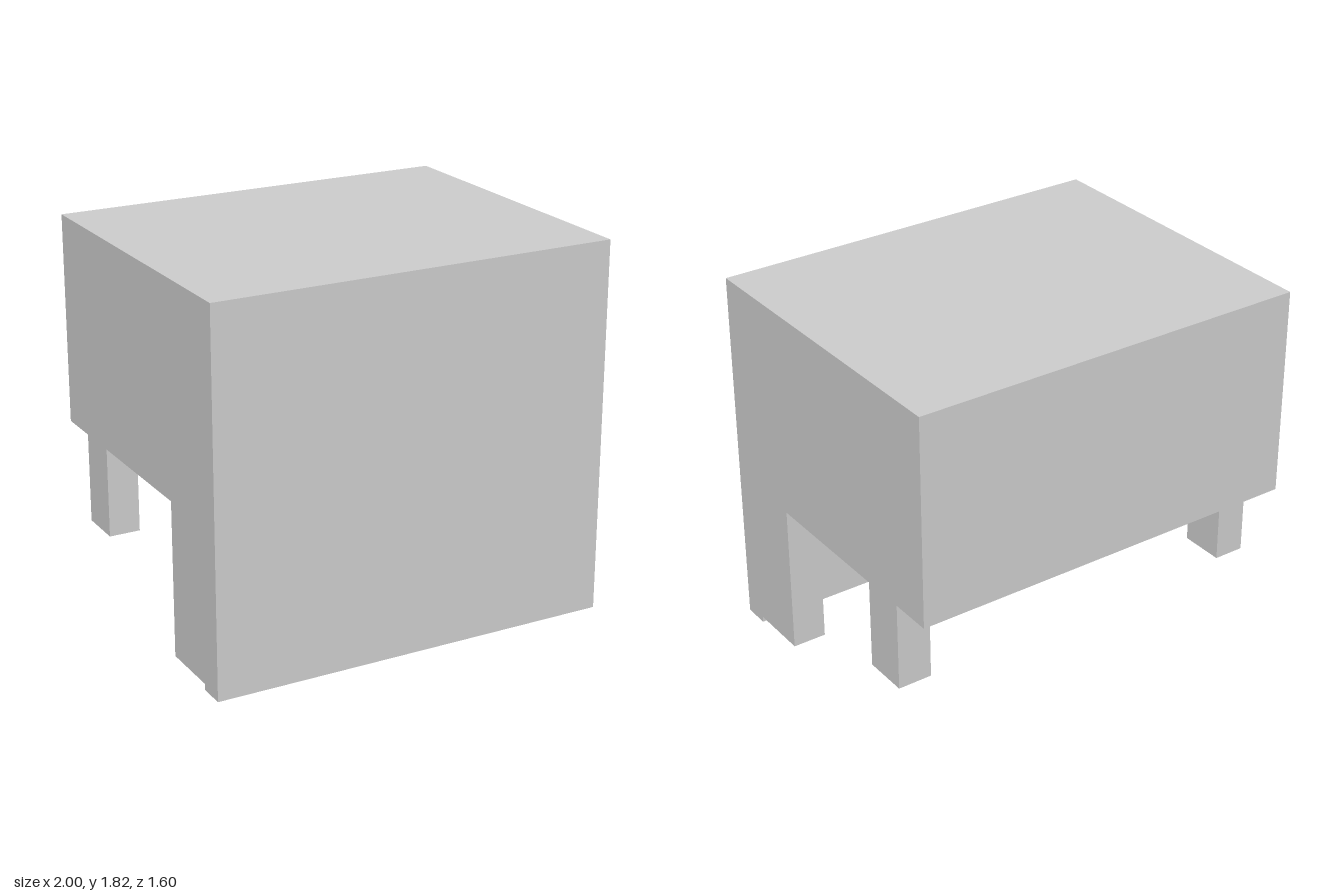
import * as THREE from 'three';

export function createModel() {
  const group = new THREE.Group();
  const material = new THREE.MeshStandardMaterial({ color: 0xcccccc, flatShading: true });

  // Adds a box spanning the given [min, max] ranges
  function addBox(name, [x0, x1], [y0, y1], [z0, z1]) {
    const mesh = new THREE.Mesh(new THREE.BoxGeometry(x1 - x0, y1 - y0, z1 - z0), material);
    mesh.position.set((x0 + x1) / 2, (y0 + y1) / 2, (z0 + z1) / 2);
    mesh.name = name;
    group.add(mesh);
  }

  const underside = 0.79;
  const panelBack = 0.67;

  // Main block and the full-width panel dropping down at the front
  addBox('body', [-1, 1], [underside, 1.825], [-0.8, 0.8]);
  addBox('frontPanel', [-1, 1], [0, underside], [panelBack, 0.8]);

  // Legs flush with the sides: long ones behind the panel, short ones at the rear
  const sides = [
    { side: 'left', x: [0.83, 1] },
    { side: 'right', x: [-1, -0.845] },
  ];
  for (const { side, x } of sides) {
    addBox(`${side}FrontLeg`, x, [0.03, underside], [0.36, panelBack]);
    addBox(`${side}RearLeg`, x, [0.345, underside], [-0.585, -0.36]);
  }

  return group;
}
